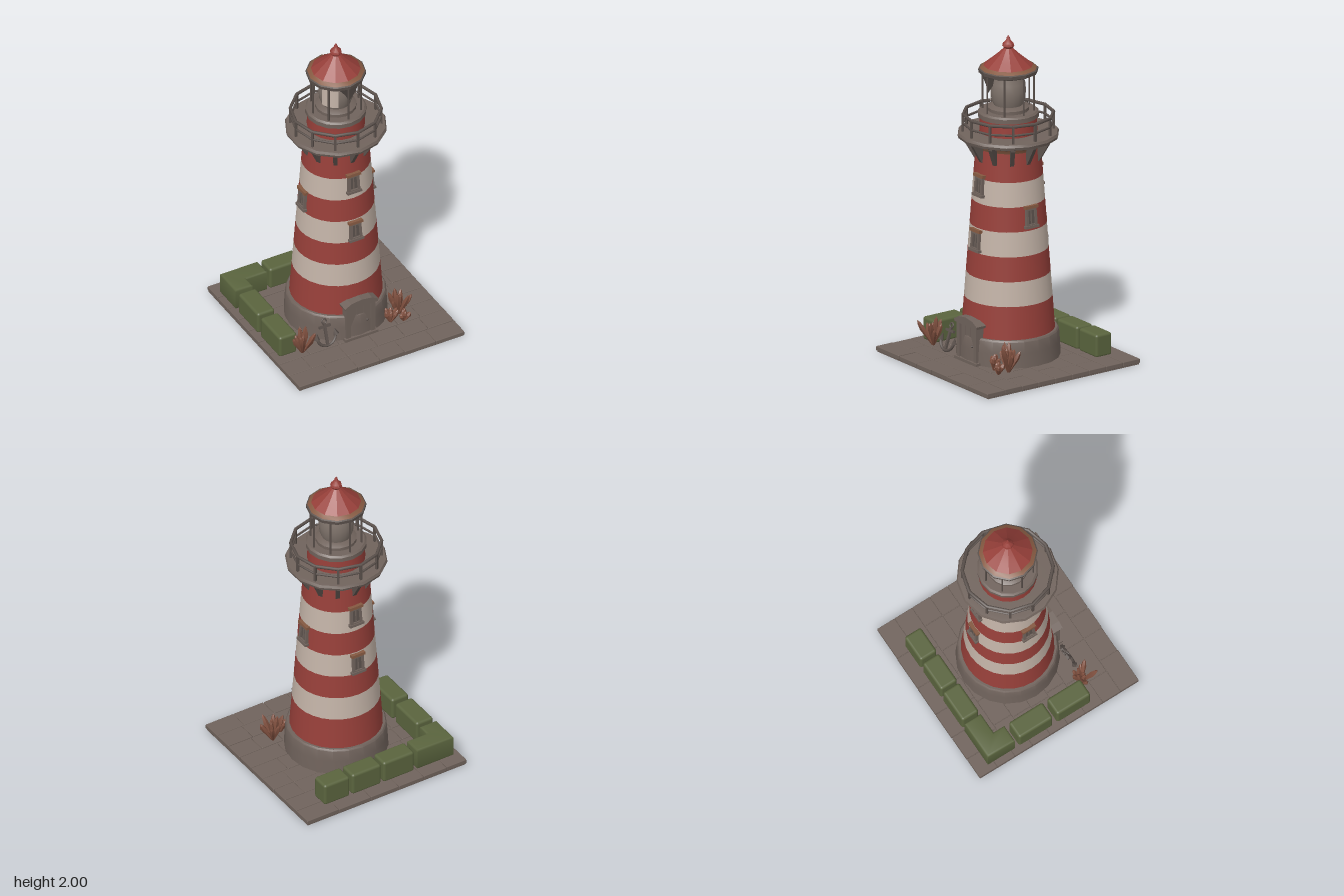
import * as THREE from 'three';
import { toCreasedNormals } from 'three/addons/utils/BufferGeometryUtils.js';
import { RoundedBoxGeometry } from 'three/addons/geometries/RoundedBoxGeometry.js';

const flat = (color, side = THREE.FrontSide) => new THREE.MeshStandardMaterial({ color, side });
const paint = {
  red: flat(0x98403a), white: flat(0xc4b4a8), stone: flat(0x70635c), iron: flat(0x5b514c),
  hedge: flat(0x5a643e), plant: flat(0x80503f), rust: flat(0x865a42),
  lens: flat(0x7f736b), pane: flat(0x4a423e, THREE.DoubleSide),
};
for (const key in paint) paint[key].name = key;

let seed = 7;
const rand = (a = 0, b = 1) => {
  seed = (seed * 16807) % 2147483647;
  return a + (b - a) * (seed / 2147483647);
};

function add(parent, name, geometry, material, x = 0, y = 0, z = 0) {
  const mesh = new THREE.Mesh(geometry, material);
  mesh.name = name;
  mesh.position.set(x, y, z);
  parent.add(mesh);
  return mesh;
}
function group(parent, name, x = 0, y = 0, z = 0) {
  const g = new THREE.Group();
  g.name = name;
  g.position.set(x, y, z);
  parent.add(g);
  return g;
}
const box = (w, h, d) => new THREE.BoxGeometry(w, h, d);
const lathe = (points, sides, crease = 0.6) =>
  toCreasedNormals(new THREE.LatheGeometry(points.map(p => new THREE.Vector2(...p)), sides), crease);
const extrude = (shape, depth, bevel = 0) => new THREE.ExtrudeGeometry(shape, {
  depth, bevelEnabled: bevel > 0, bevelSize: bevel, bevelThickness: bevel, bevelOffset: -bevel, bevelSegments: 3,
});
const polygon = points => new THREE.Shape(points.map(p => new THREE.Vector2(...p)));
const towerRadius = y => 0.275 - (y - 0.2) * 0.0737;

// Square plinth of worn paving stones
function buildPlinth(root) {
  const g = group(root, 'plinth');
  add(g, 'plinthCore', box(1.1, 0.03, 1.1), paint.stone, 0, 0.015, 0);
  const rows = 9, depth = 1.11 / rows;
  for (let r = 0; r < rows; r++) {
    const edge = r === 0 || r === rows - 1;
    let x = -0.555;
    while (x < 0.55) {
      let w = rand(0.14, 0.24);
      if (x + w > 0.47) w = 0.555 - x;
      const top = rand(0.033, 0.036), out = edge ? rand(0, 0.006) : 0;
      add(g, 'pavingStone', new RoundedBoxGeometry(w - 0.003, 0.028, depth - 0.003 + out, 1, 0.004), paint.stone,
        x + w / 2, top - 0.014, -0.555 + (r + 0.5) * depth + Math.sign(r - 4) * out / 2);
      x += w;
    }
  }
}

// Clipped hedge blocks on the back and one side
function buildHedges(root) {
  const g = group(root, 'hedges');
  const corner = polygon([[-0.515, 0.285], [-0.4, 0.285], [-0.4, 0.36], [-0.262, 0.36], [-0.262, 0.475], [-0.515, 0.475]]);
  const l = add(g, 'cornerHedge', toCreasedNormals(extrude(corner, 0.114, 0.013), 0.7), paint.hedge, 0, 0.043, 0);
  l.rotation.x = -Math.PI / 2;
  const blocks = [[-0.242, -0.028, -0.475, -0.36], [-0.012, 0.19, -0.475, -0.36], [0.207, 0.384, -0.475, -0.36],
    [-0.515, -0.398, -0.255, -0.018], [-0.515, -0.398, 0.012, 0.247]];
  for (const [x0, x1, z0, z1] of blocks)
    add(g, 'hedge', new RoundedBoxGeometry(x1 - x0, 0.142, z1 - z0, 3, 0.016), paint.hedge, (x0 + x1) / 2, 0.099, (z0 + z1) / 2);
}

// Window at a given height, facing angle around the tower
function buildWindow(root, y, angle) {
  const pivot = group(root, 'window');
  pivot.rotation.y = angle;
  const g = group(pivot, 'windowParts', 0, y, towerRadius(y));
  g.rotation.x = -0.073;
  const frame = polygon([[-0.04, -0.06], [0.04, -0.06], [0.036, 0.055], [-0.036, 0.055]]);
  frame.holes.push(new THREE.Path([[-0.025, -0.045], [-0.022, 0.04], [0.022, 0.04], [0.025, -0.045]]
    .map(p => new THREE.Vector2(...p))));
  add(g, 'windowFrame', extrude(frame, 0.03), paint.stone, 0, 0, -0.016);
  add(g, 'windowPane', box(0.05, 0.09, 0.008), paint.iron, 0, 0, 0);
  add(g, 'windowBar', box(0.006, 0.09, 0.008), paint.stone, 0, 0, 0.005);
  add(g, 'windowSill', box(0.096, 0.016, 0.04), paint.stone, 0, -0.06, 0);
  add(g, 'windowLintel', box(0.092, 0.018, 0.04), paint.rust, 0, 0.06, 0);
}

// Stone foot, striped shaft and windows
function buildTower(root) {
  const g = group(root, 'tower');
  add(g, 'towerFoot', lathe([[0.308, 0.03], [0.303, 0.12], [0.298, 0.19], [0.29, 0.2], [0.265, 0.2]], 20), paint.stone);
  const edges = [0.2, 0.4, 0.55, 0.7, 0.85, 1.0, 1.15, 1.33];
  for (let i = 0; i < edges.length - 1; i++) {
    const [a, b] = [edges[i], edges[i + 1]];
    add(g, i % 2 ? 'whiteBand' : 'redBand',
      new THREE.CylinderGeometry(towerRadius(b), towerRadius(a), b - a, 28, 1, true),
      i % 2 ? paint.white : paint.red, 0, (a + b) / 2, 0);
  }
  for (const a of [0, Math.PI]) for (const y of [0.775, 1.11]) buildWindow(g, y, a);
  for (const a of [Math.PI / 2, -Math.PI / 2]) buildWindow(g, 0.935, a);
}

// Doorway with planks and an arched hood
function buildDoor(root) {
  const g = group(root, 'doorway');
  for (const s of [-1, 1]) add(g, 'doorPost', box(0.028, 0.23, 0.07), paint.stone, s * 0.083, 0.145, 0.27);
  for (const i of [-1, 0, 1]) add(g, 'doorPlank', box(0.043, 0.225, 0.05), paint.stone, i * 0.046, 0.142, 0.268);
  add(g, 'doorBacking', box(0.14, 0.225, 0.04), paint.iron, 0, 0.142, 0.265);
  add(g, 'doorHandle', new THREE.SphereGeometry(0.008, 8, 6), paint.iron, 0.045, 0.14, 0.297);
  add(g, 'doorStep', box(0.22, 0.018, 0.06), paint.stone, 0, 0.042, 0.285);
  const hood = polygon([[-0.108, 0], [0.108, 0], [0.112, 0.016], [0.07, 0.04], [0, 0.05], [-0.07, 0.04], [-0.112, 0.016]]);
  add(g, 'doorHood', extrude(hood, 0.08), paint.stone, 0, 0.262, 0.233);
}

// Gallery deck with brackets and railing
function buildGallery(root) {
  const g = group(root, 'gallery');
  add(g, 'galleryFlare', lathe([[0.191, 1.32], [0.2, 1.345], [0.225, 1.375]], 28), paint.rust);
  add(g, 'galleryDeck', lathe([[0.18, 1.37], [0.275, 1.37], [0.297, 1.378], [0.303, 1.395], [0.295, 1.41],
    [0.27, 1.412], [0.15, 1.412]], 14), paint.stone);
  const bracket = polygon([[0.188, 1.25], [0.202, 1.25], [0.265, 1.36], [0.265, 1.376], [0.185, 1.376]]);
  for (let i = 0; i < 12; i++) {
    const spoke = group(g, 'gallerySpoke');
    spoke.rotation.y = i * Math.PI / 6;
    add(spoke, 'bracket', extrude(bracket, 0.024), paint.iron, 0, 0, -0.012);
    add(spoke, 'railPost', box(0.014, 0.115, 0.014), paint.iron, 0.268, 1.465, 0);
  }
  for (const [y, t] of [[1.462, 0.007], [1.517, 0.01]]) {
    const rail = add(g, 'handRail', new THREE.TorusGeometry(0.268, t, 6, 12), paint.iron, 0, y, 0);
    rail.rotation.x = Math.PI / 2;
  }
}

// Lantern room, lens and roof
function buildLantern(root) {
  const g = group(root, 'lantern');
  add(g, 'lanternDrum', new THREE.CylinderGeometry(0.168, 0.172, 0.1, 24, 1, true), paint.red, 0, 1.455, 0);
  add(g, 'lanternFloor', lathe([[0.165, 1.5], [0.181, 1.503], [0.181, 1.53], [0.17, 1.54], [0, 1.54]], 16), paint.stone);
  add(g, 'lensFoot', lathe([[0.122, 1.54], [0.122, 1.56], [0.095, 1.575], [0, 1.575]], 16), paint.stone);
  add(g, 'lens', lathe([[0.085, 1.57], [0.1, 1.61], [0.104, 1.66], [0.1, 1.71], [0.085, 1.755], [0.085, 1.78]], 20, 1), paint.lens);
  add(g, 'lensGlint', new THREE.CylinderGeometry(0.104, 0.106, 0.12, 8, 1, true, -1.4, 1.05), paint.white, 0, 1.66, 0);
  for (let i = 0; i < 8; i++) {
    const a = i * Math.PI / 4;
    add(g, 'lanternPost', new THREE.CylinderGeometry(0.006, 0.006, 0.24, 6), paint.iron,
      0.153 * Math.cos(a), 1.655, 0.153 * Math.sin(a));
  }
  // Broken glass left hanging under the eave
  const shard = polygon([[-0.06, 0.1], [0.065, 0.1], [0.05, 0.055], [0.005, 0], [-0.02, 0.05]]);
  add(g, 'brokenPane', new THREE.ShapeGeometry(shard), paint.pane, 0, 1.67, 0.15);

  add(g, 'eave', lathe([[0, 1.765], [0.155, 1.765], [0.176, 1.775], [0.178, 1.795], [0.166, 1.802]], 12, 0.3), paint.iron);
  add(g, 'roofEdge', lathe([[0.17, 1.8], [0.147, 1.815]], 12, 0.3), paint.rust);
  add(g, 'roof', lathe([[0.148, 1.814], [0.1, 1.853], [0.06, 1.887], [0.026, 1.92], [0, 1.922]], 12, 0.3), paint.red);
  add(g, 'finial', lathe([[0.02, 1.91], [0.036, 1.933], [0.032, 1.95], [0.014, 1.968], [0.009, 1.985], [0, 2]], 8), paint.red);
}

// Anchor leaning on the tower foot
function buildAnchor(root) {
  const g = group(root, 'anchor', -0.22, 0.036, 0.302);
  g.rotation.x = -0.32;
  add(g, 'anchorShank', box(0.016, 0.145, 0.014), paint.iron, 0, 0.08, 0);
  add(g, 'anchorStock', box(0.075, 0.014, 0.016), paint.iron, 0, 0.132, 0);
  add(g, 'anchorRing', new THREE.TorusGeometry(0.015, 0.005, 6, 12), paint.iron, 0, 0.165, 0);
  const arms = add(g, 'anchorArms', new THREE.TorusGeometry(0.062, 0.009, 6, 14, Math.PI), paint.iron, 0, 0.073, 0);
  arms.rotation.z = Math.PI;
  for (const s of [-1, 1]) {
    const fluke = add(g, 'anchorFluke', new THREE.ConeGeometry(0.02, 0.045, 4), paint.iron, s * 0.062, 0.085, 0);
    fluke.rotation.z = s * 0.15;
  }
}

// Clump of dry fleshy leaves
function buildPlant(root, x, z, size, count) {
  const g = group(root, 'dryPlant', x, 0.03, z);
  for (let i = 0; i < count; i++) {
    const len = size * rand(0.75, 1.05);
    const leaf = add(g, 'leaf', lathe([[0.006, 0], [0.011, len * 0.35], [0.017, len * 0.68], [0.01, len * 0.9], [0, len]], 5, 0.3), paint.plant);
    leaf.rotation.order = 'YXZ';
    leaf.rotation.set(i % 3 ? rand(0.3, 0.55) : rand(0.05, 0.2), i * 2 * Math.PI / count + rand(-0.2, 0.2), 0);
  }
}

export function createModel() {
  seed = 7;
  const root = new THREE.Group();
  root.name = 'lighthouse';
  buildPlinth(root);
  buildHedges(root);
  buildTower(root);
  buildDoor(root);
  buildGallery(root);
  buildLantern(root);
  buildAnchor(root);
  buildPlant(root, -0.375, 0.27, 0.18, 11);
  buildPlant(root, 0.3, 0.22, 0.18, 10);
  buildPlant(root, 0.22, 0.265, 0.11, 7);
  buildPlant(root, 0.295, 0.29, 0.08, 5);
  return root;
}
